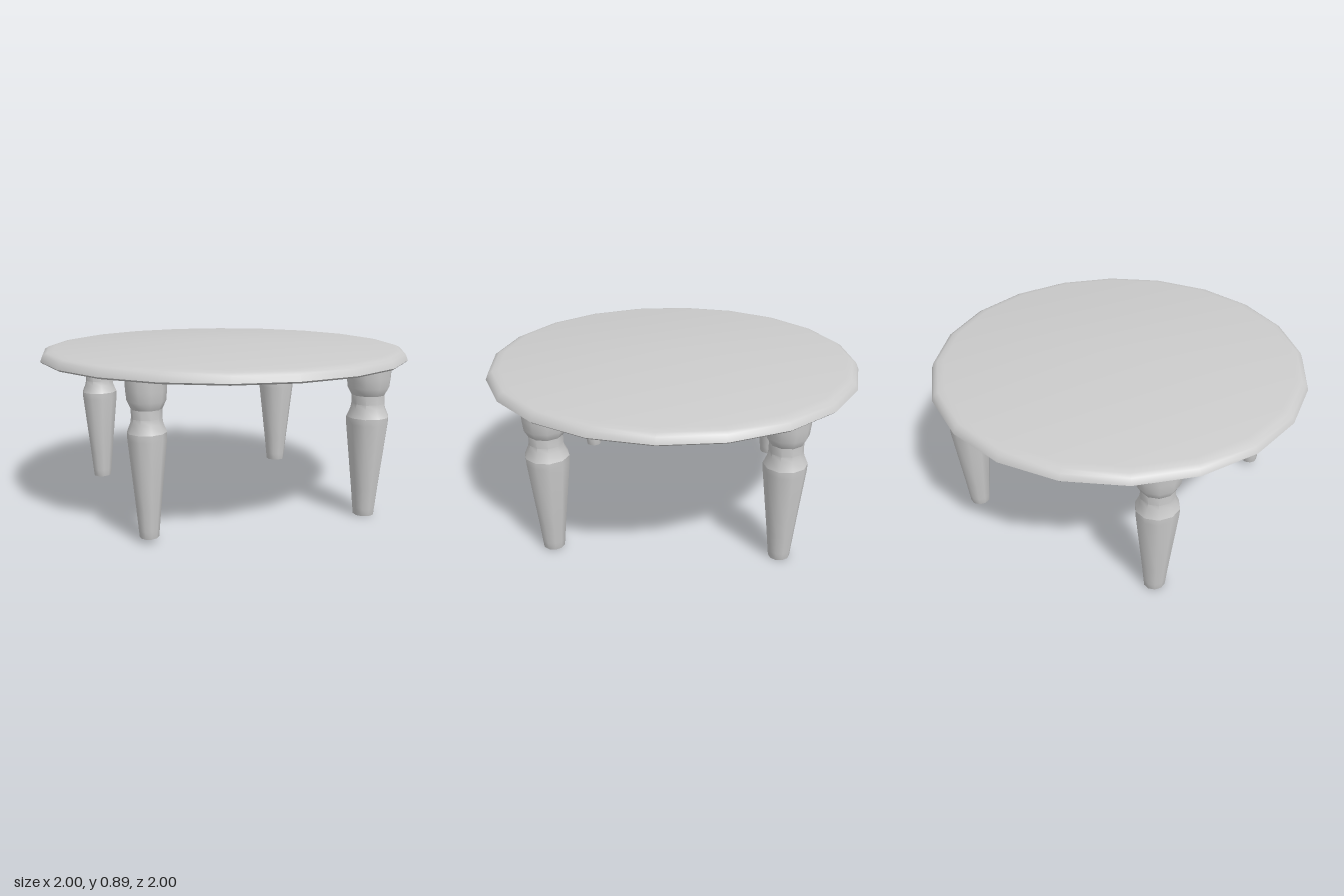
import * as THREE from 'three';
import { toCreasedNormals } from 'three/addons/utils/BufferGeometryUtils.js';

const material = new THREE.MeshStandardMaterial({ color: 0xcccccc });

// Surface of revolution from [radius, height] pairs, listed bottom to top
function turned(name, profile, sides, crease) {
  const points = profile.map(([r, y]) => new THREE.Vector2(r, y));
  const geometry = toCreasedNormals(new THREE.LatheGeometry(points, sides), crease);
  const mesh = new THREE.Mesh(geometry, material);
  mesh.name = name;
  return mesh;
}

// Turned leg: tapered foot, belly, neck and collar; radius 1 is half the belly width
const legProfile = [
  [0, 0], [0.5, 0], [0.54, 0.04], [0.64, 0.15], [0.99, 0.5], [1, 0.535],
  [0.82, 0.58], [0.78, 0.605], [0.78, 0.65], [0.98, 0.69], [1.03, 0.74], [1.07, 0.82],
];

// Each leg: position, half widths and foot height, slightly uneven as if hand carved
const legs = [
  { name: 'frontLeg', x: -0.135, z: 0.81, rx: 0.094, rz: 0.094, foot: 0.025 },
  { name: 'leftLeg', x: 0.815, z: 0.13, rx: 0.11, rz: 0.115, foot: 0.005 },
  { name: 'backLeg', x: 0.125, z: -0.82, rx: 0.112, rz: 0.107, foot: 0 },
  { name: 'rightLeg', x: -0.83, z: -0.125, rx: 0.102, rz: 0.111, foot: 0.005 },
];

export function createModel() {
  const table = new THREE.Group();
  table.name = 'roundTable';

  // Slightly domed disc with a bevelled rim
  table.add(turned('tableTop', [
    [0, 0.802], [0.99, 0.806], [1, 0.815], [0.987, 0.847], [0.965, 0.858], [0.93, 0.865], [0, 0.89],
  ], 20, 0.9));

  for (const { name, x, z, rx, rz, foot } of legs) {
    const leg = turned(name, legProfile, 10, 1.05);
    leg.scale.set(rx, (0.82 - foot) / 0.82, rz);
    leg.position.set(x, foot, z);
    table.add(leg);
  }
  return table;
}
